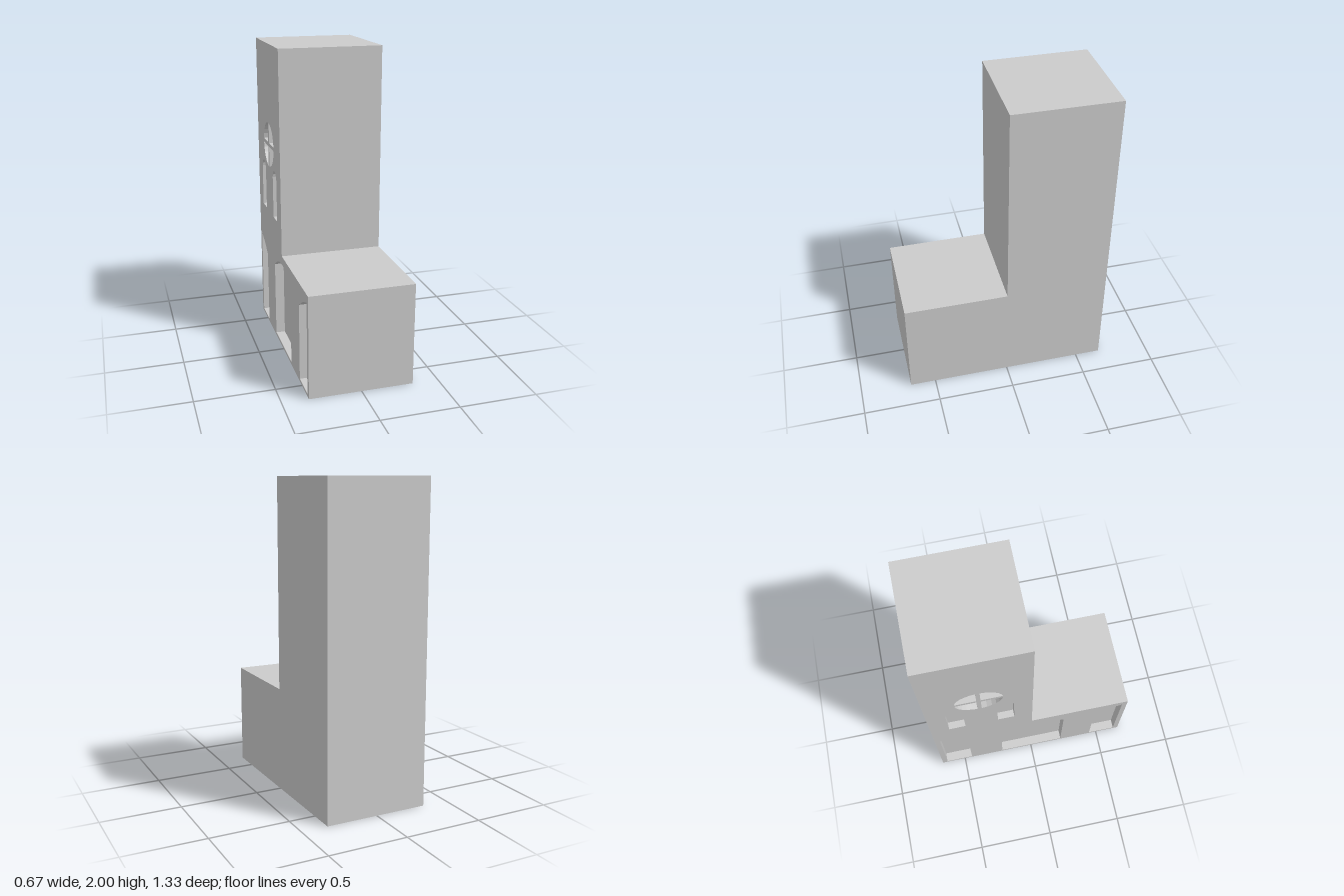
import * as THREE from 'three';

const W = 0.333, L = 0.667, STEP = 0.667, H = 2, DOOR_DEPTH = 0.06, WINDOW_DEPTH = 0.045;

// L-shaped side profile: x of the shape runs along z of the model
function sideProfile() {
  return new THREE.Shape([[-L, 0], [L, 0], [L, STEP], [0, STEP], [0, H], [-L, H]]
    .map(([z, y]) => new THREE.Vector2(z, y)));
}

const pathOf = pts => new THREE.Path(pts.map(([z, y]) => new THREE.Vector2(z, y)));

// Opening with a curved head: rise is the height of the arch above the springing
function archOpening(z, width, base, spring, rise, segments) {
  const pts = [[z - width / 2, base], [z + width / 2, base]];
  const r = width / 2;
  const R = (r * r + rise * rise) / (2 * rise), half = Math.asin(Math.min(1, r / R));
  for (let i = 0; i <= segments; i++) {
    const a = half * (1 - 2 * i / segments);
    pts.push([z + R * Math.sin(a), spring + rise - R + R * Math.cos(a)]);
  }
  return pathOf(pts);
}

// Side doorway: half of an arch, tallest at the outer end of the wall
function halfArchDoor(side) {
  const pts = [[0.632, 0.017], [0.632, 0.615], [0.545, 0.583], [0.447, 0.52], [0.447, 0.017]];
  return pathOf(pts.map(([z, y]) => [z * side, y]));
}

// One quarter pane of the round window, leaving a cross of bars between panes
function quarterPane(cz, cy, r, bar, sz, sy) {
  const start = Math.asin(bar / r), pts = [[cz + sz * bar, cy + sy * bar]];
  for (let i = 0; i <= 6; i++) {
    const a = start + (Math.PI / 2 - 2 * start) * i / 6;
    pts.push([cz + sz * r * Math.cos(a), cy + sy * r * Math.sin(a)]);
  }
  return pathOf(pts);
}

export function createModel() {
  const group = new THREE.Group();
  const material = new THREE.MeshStandardMaterial({ color: 0xcccccc, flatShading: true });

  // Extrudes a side profile from x = start towards -x
  function slab(name, shape, start, depth) {
    const geometry = new THREE.ExtrudeGeometry(shape, { depth, bevelEnabled: false });
    geometry.rotateY(-Math.PI / 2);
    const mesh = new THREE.Mesh(geometry, material);
    mesh.name = name;
    mesh.position.x = start;
    group.add(mesh);
  }

  // Solid tower and nave
  slab('towerAndNave', sideProfile(), W, 2 * W - DOOR_DEPTH);

  // Upper windows and round window, centred on the tower
  const windows = [-1, 1].map(s => archOpening(-0.333 + s * 0.161, 0.108, 0.865, 1.14, 0.0535, 8));
  for (const sz of [-1, 1]) for (const sy of [-1, 1])
    windows.push(quarterPane(-0.331, 1.336, 0.148, 0.013, sz, sy));

  // Lower doorways
  const doors = [halfArchDoor(-1), halfArchDoor(1), archOpening(0.005, 0.442, 0.018, 0.53, 0.08, 6)];

  // Wall in two layers, so the windows are shallower than the doors
  const inner = sideProfile(), outer = sideProfile();
  inner.holes.push(...doors);
  outer.holes.push(...doors, ...windows);
  slab('innerWall', inner, -W + DOOR_DEPTH, DOOR_DEPTH - WINDOW_DEPTH);
  slab('facade', outer, -W + WINDOW_DEPTH, WINDOW_DEPTH);

  return group;
}
